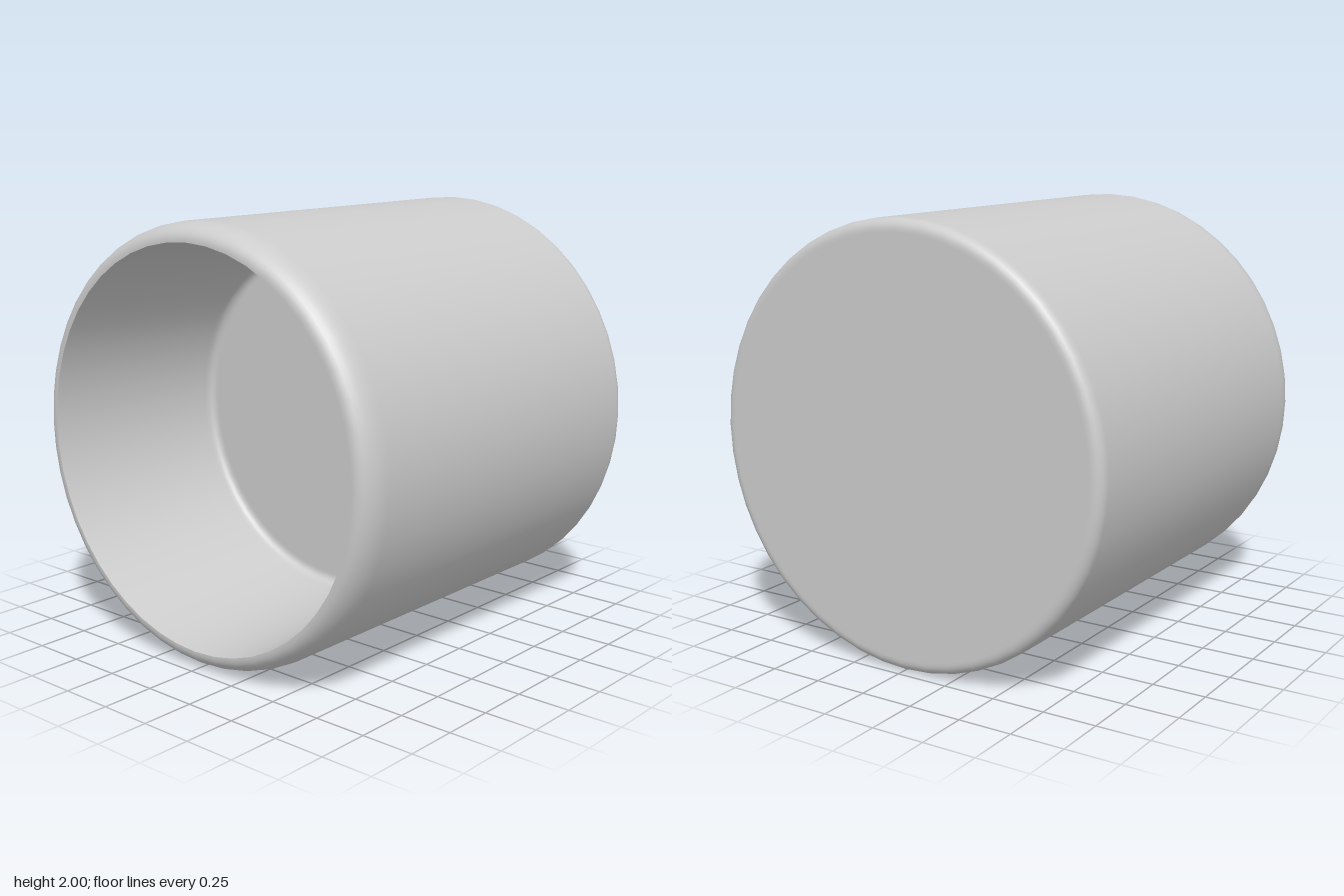
import * as THREE from 'three';

const SEGMENTS = 48;
const HALF = 0.975; // half the length along z

// Quarter-ellipse of profile points around centre (r, z)
function arc(r, z, rr, rz, from, to, steps = 6) {
  return Array.from({ length: steps + 1 }, (_, i) => {
    const a = from + ((to - from) * i) / steps;
    return new THREE.Vector2(r + rr * Math.cos(a), z + rz * Math.sin(a));
  });
}

// Revolve a radius/depth profile about the z axis
function revolve(name, profile, material) {
  const geometry = new THREE.LatheGeometry(profile, SEGMENTS).rotateX(Math.PI / 2);
  const mesh = new THREE.Mesh(geometry, material);
  mesh.name = name;
  return mesh;
}

export function createModel() {
  const P = (r, z) => new THREE.Vector2(r, z);
  const material = new THREE.MeshStandardMaterial({ color: 0xcccccc });
  const cup = new THREE.Group();
  cup.name = 'cup';

  // Closed back, straight wall and softly rounded front lip
  const outer = [
    P(0, -HALF), P(0.94, -HALF),
    ...arc(0.95, -HALF + 0.05, 0.05, 0.05, -Math.PI / 2, 0),
    P(1, -HALF + 0.06), P(1, HALF - 0.14),
    ...arc(0.925, HALF - 0.125, 0.075, 0.125, 0, Math.PI / 2, 8),
    P(0.915, HALF),
  ];

  // Tapered hollow with a small fillet around its floor
  const floorZ = 0.02;
  const inner = [
    P(0.915, HALF), P(0.913, HALF - 0.02), P(0.85, floorZ + 0.05),
    ...arc(0.808, floorZ + 0.04, 0.04, 0.04, 0, -Math.PI / 2),
    P(0.798, floorZ), P(0, floorZ),
  ];

  cup.add(revolve('outerShell', outer, material), revolve('innerHollow', inner, material));
  cup.position.y = 1;

  const model = new THREE.Group();
  model.name = 'model';
  model.add(cup);
  return model;
}
